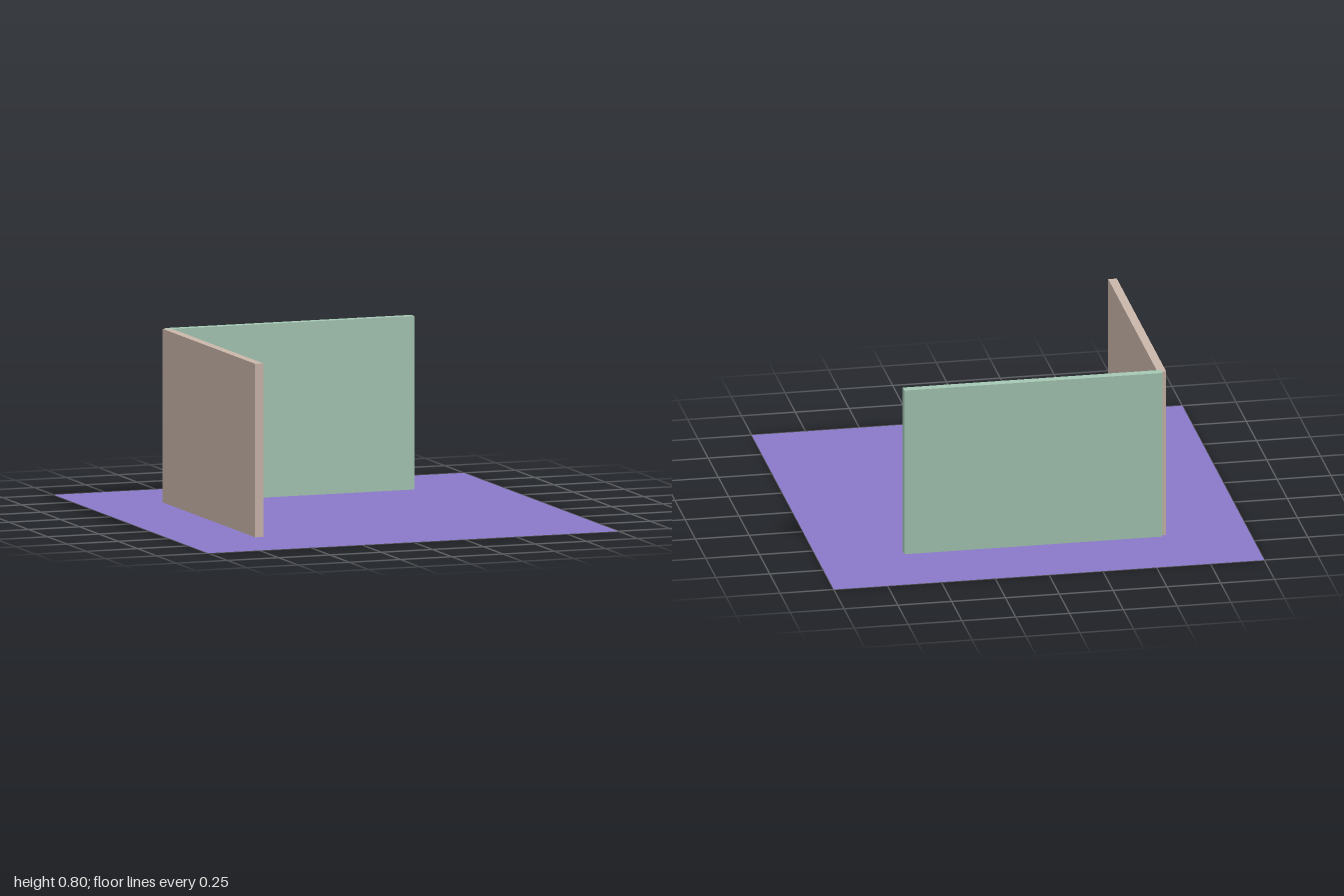
import * as THREE from 'three';

const material = (name, color, side = THREE.FrontSide) => {
  const m = new THREE.MeshStandardMaterial({ color, side });
  m.name = name;
  return m;
};

export function createModel() {
  const group = new THREE.Group();
  group.name = 'wallCorner';
  const height = 0.8, length = 1.2, thickness = 0.04, offset = 0.6;

  const add = (name, geometry, mat, x, y, z) => {
    const mesh = new THREE.Mesh(geometry, mat);
    mesh.name = name;
    mesh.position.set(x, y, z);
    group.add(mesh);
  };

  // Flat square floor, visible from both sides
  add('floor', new THREE.PlaneGeometry(2, 2).rotateX(-Math.PI / 2),
    material('violet', 0x8a78c8, THREE.DoubleSide), 0, 0, 0);

  // Two thin walls meeting at the back right corner
  add('backWall', new THREE.BoxGeometry(length, height, thickness),
    material('paleGreen', 0xa6c8b4), 0, height / 2, -offset);
  add('sideWall', new THREE.BoxGeometry(thickness, height, length),
    material('beige', 0xcab7ab), -offset, height / 2, 0);

  return group;
}
